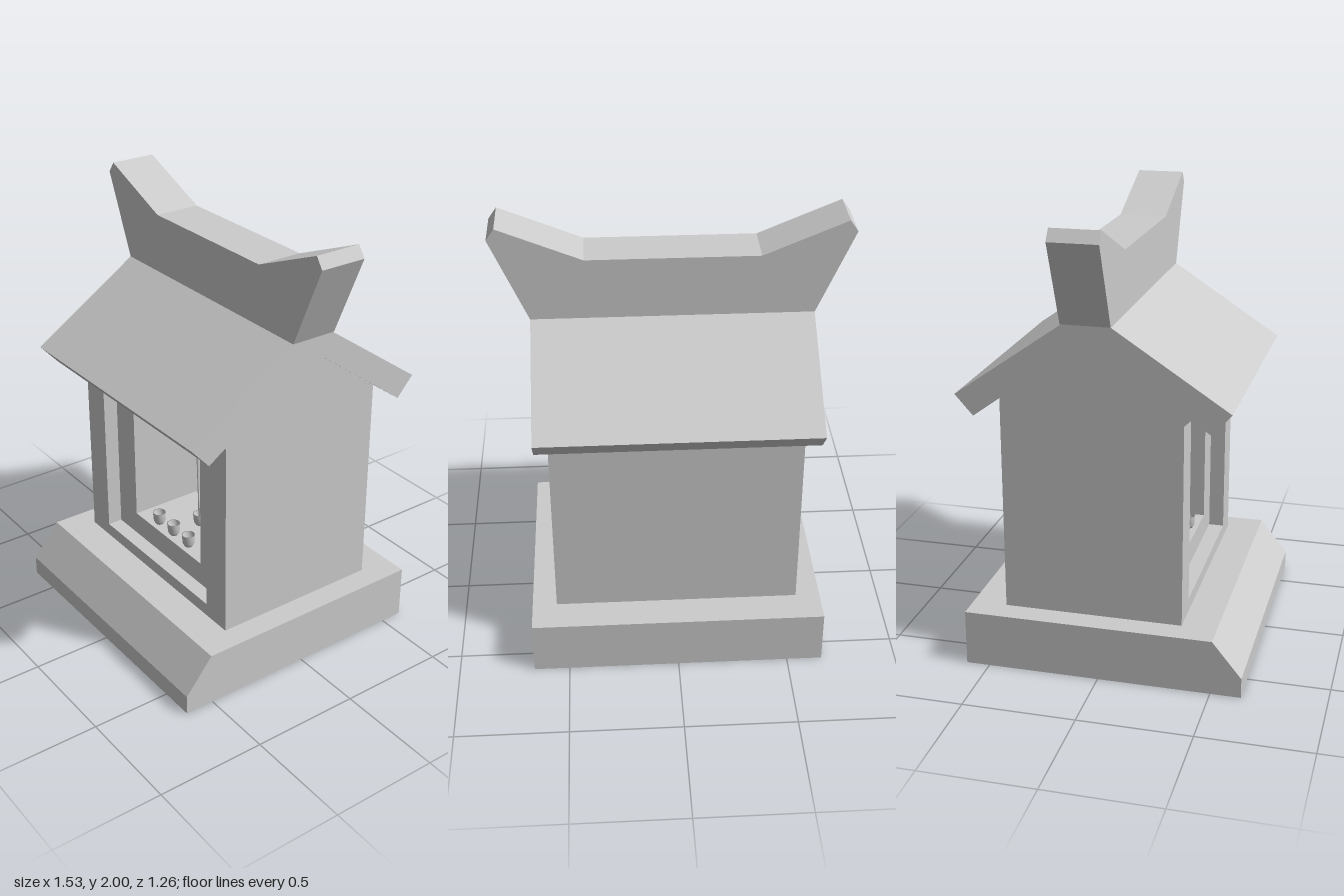
import * as THREE from 'three';

export function createModel() {
  const model = new THREE.Group();
  const stone = new THREE.MeshStandardMaterial({ color: 0xcccccc });
  const thin = new THREE.MeshStandardMaterial({ color: 0xcccccc, side: THREE.DoubleSide });

  const add = (name, geometry, x = 0, y = 0, z = 0, parent = model, material = stone) => {
    const mesh = new THREE.Mesh(geometry, material);
    mesh.name = name;
    mesh.position.set(x, y, z);
    parent.add(mesh);
    return mesh;
  };
  const outline = (points) => new THREE.Shape(points.map(([a, b]) => new THREE.Vector2(a, b)));
  const rectangle = (halfWidth, bottom, top) => outline([
    [-halfWidth, bottom], [halfWidth, bottom], [halfWidth, top], [-halfWidth, top]]);
  const extrude = (shape, depth) => new THREE.ExtrudeGeometry(shape, { depth, bevelEnabled: false });
  // Side profile given as [z, y], extruded symmetrically along x
  const acrossX = (points, halfWidth) => extrude(outline(points), halfWidth * 2)
    .translate(0, 0, -halfWidth).rotateY(-Math.PI / 2);

  // Plinth with a sloping front
  add('plinth', acrossX([[-0.605, 0], [0.635, 0], [0.635, 0.09], [0.505, 0.25], [-0.605, 0.25]], 0.66));

  // House: outer door frame, inner frame with the niche, back wall
  const wall = (name, back, front, hole) => {
    const shape = rectangle(0.55, 0.25, 1.165);
    if (hole) shape.holes.push(rectangle(...hole));
    add(name, extrude(shape, front - back), 0, 0, back);
  };
  wall('outerDoorFrame', 0.28, 0.35, [0.41, 0.31, 1.15]);
  wall('nicheWalls', -0.3, 0.28, [0.265, 0.42, 1.05]);
  wall('backWall', -0.45, -0.3);

  // Gable block filling the space under the roof
  add('gable', acrossX([
    [-0.45, 1.165], [0.35, 1.165], [0.397, 1.21], [0.005, 1.48], [-0.105, 1.48], [-0.45, 1.234]], 0.55));

  // Roof slab bent over the ridge
  add('roof', acrossX([
    [0.56, 1.25], [0.055, 1.58], [-0.155, 1.58], [-0.63, 1.245],
    [-0.55, 1.155], [-0.105, 1.48], [0.005, 1.48], [0.475, 1.155]], 0.605));

  // Ridge beam with upswept ends
  const ridgeSide = [[0.605, 1.58], [0.765, 1.95], [0.73, 2], [0.37, 1.85]];
  const ridge = [...ridgeSide, ...ridgeSide.map(([x, y]) => [-x, y]).reverse()];
  add('ridge', extrude(outline(ridge), 0.215), 0, 0, -0.16);

  // Offerings inside the niche
  const offerings = new THREE.Group();
  offerings.name = 'offerings';
  offerings.position.y = 0.42;
  model.add(offerings);
  const cupProfile = [[0, 0], [0.018, 0], [0.027, 0.016], [0.031, 0.06], [0.027, 0.06], [0.023, 0.02], [0, 0.015]]
    .map(([r, y]) => new THREE.Vector2(r, y));
  const cup = new THREE.LatheGeometry(cupProfile, 20);
  for (const x of [-0.13, -0.01, 0.11]) add('cup', cup, x, 0, 0.238, offerings, thin);

  // Incense pot with three sticks
  add('incensePot', cup, -0.01, 0, 0.09, offerings, thin);
  [-1, 0, 1].forEach((side) => {
    const path = new THREE.LineCurve3(
      new THREE.Vector3(side * 0.004, 0.015, 0),
      new THREE.Vector3(side * 0.016, 0.43, side ? -0.008 : 0.012));
    add('incenseStick', new THREE.TubeGeometry(path, 1, 0.004, 6), -0.01, 0, 0.09, offerings, thin);
  });

  // Slatted offering tray on low feet
  add('trayBoard', new THREE.BoxGeometry(0.22, 0.012, 0.2), -0.01, 0.02, -0.08, offerings);
  for (const x of [-0.06, 0.04]) add('trayFoot', new THREE.BoxGeometry(0.02, 0.014, 0.18), x, 0.007, -0.08, offerings);
  for (let i = 0; i < 4; i++) {
    const slat = new THREE.CylinderGeometry(0.012, 0.012, 0.2, 10).rotateZ(Math.PI / 2);
    add('traySlat', slat, -0.01, 0.036, -0.15 + i * 0.047, offerings);
  }
  return model;
}
